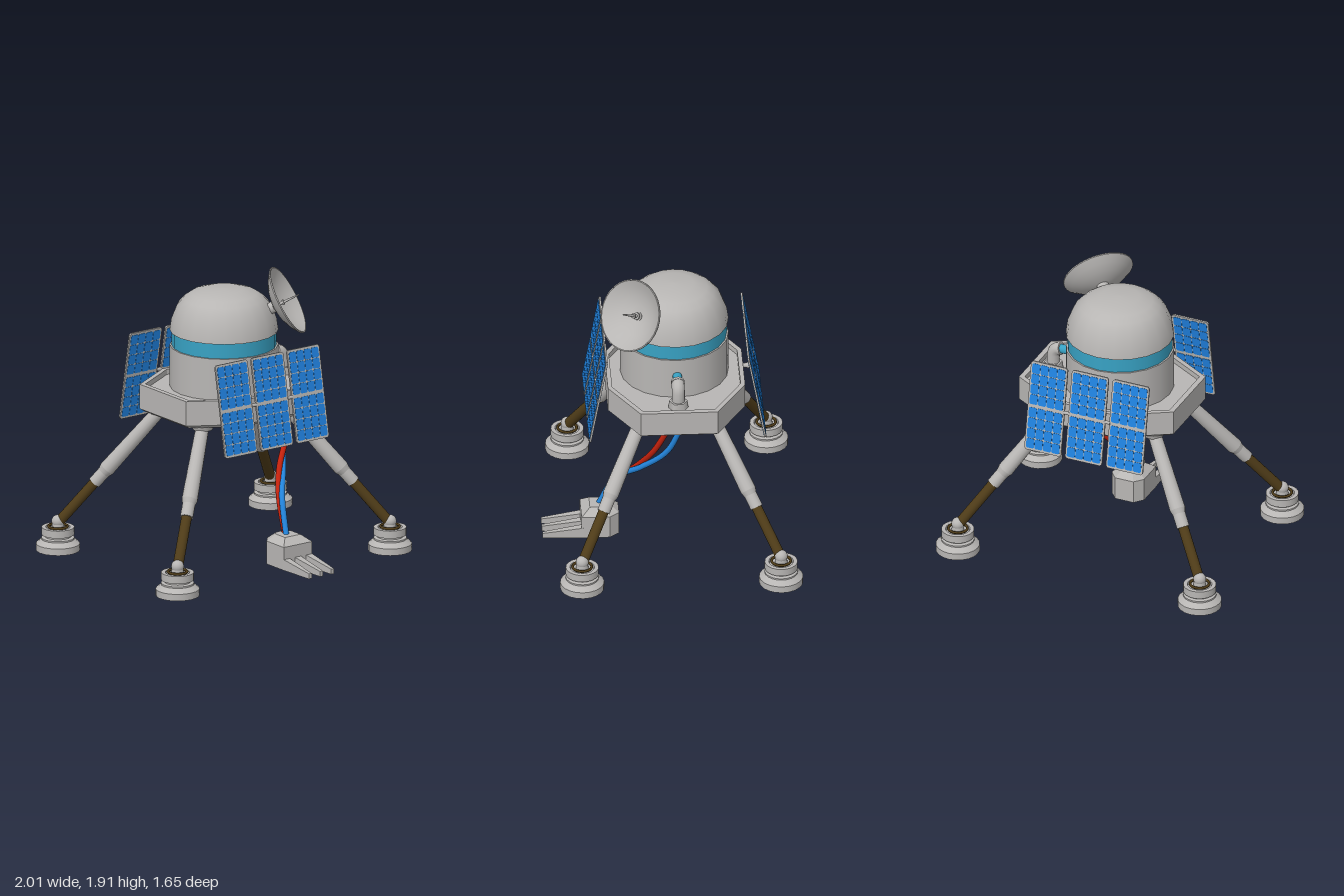
import * as THREE from 'three';
import { mergeGeometries } from 'three/addons/utils/BufferGeometryUtils.js';

const mat = (name, color) => {
  const m = new THREE.MeshStandardMaterial({ color });
  m.name = name;
  return m;
};
const V = (x, y, z) => new THREE.Vector3(x, y, z);
const UP = V(0, 1, 0);
const CZ = -0.042; // centre line of the vehicle in z

// Flat-sided solid: a polygon [x, z] scaled and lifted through a [scale, y] profile
function loft(poly, profile) {
  const pos = [];
  for (let k = 0; k < profile.length - 1; k++) {
    const [s0, y0] = profile[k], [s1, y1] = profile[k + 1];
    poly.forEach((p, i) => {
      const q = poly[(i + 1) % poly.length];
      const a = [p[0] * s0, y0, p[1] * s0], b = [q[0] * s0, y0, q[1] * s0];
      const c = [q[0] * s1, y1, q[1] * s1], d = [p[0] * s1, y1, p[1] * s1];
      if (s0 > 0) pos.push(...a, ...b, ...c);
      if (s1 > 0) pos.push(...a, ...c, ...d);
    });
  }
  const g = new THREE.BufferGeometry();
  g.setAttribute('position', new THREE.Float32BufferAttribute(pos, 3));
  g.computeVertexNormals();
  return g;
}

const octagon = (x, z, x2, z2) => [[x, z2], [x, -z2], [x2, -z], [-x2, -z], [-x, -z2], [-x, z2], [-x2, z], [x2, z]];

// Smooth turned surface, and one with sharp edges between its straight runs
const lathe = (points, sides) => new THREE.LatheGeometry(points.map(p => new THREE.Vector2(...p)), sides);
const turned = (points, sides) =>
  mergeGeometries(points.slice(1).map((p, i) => lathe([points[i], p], sides)));

// Flat plate in the xy plane with cut corners, centred on its thickness
function plate(w, h, cut, depth) {
  const s = new THREE.Shape([[w - cut, -h], [w, -h + cut], [w, h - cut], [w - cut, h],
    [-w + cut, h], [-w, h - cut], [-w, -h + cut], [-w + cut, -h]].map(p => new THREE.Vector2(...p)));
  return new THREE.ExtrudeGeometry(s, { depth, bevelEnabled: false }).translate(0, 0, -depth / 2);
}

export function createModel() {
  const grey = mat('hull grey', 0xb8b6b4);
  const teal = mat('window teal', 0x38a2c4);
  const hatchTeal = mat('hatch teal', 0x60a8a5);
  const bronze = mat('bronze', 0x4f3c18);
  const red = mat('cable red', 0xc4220d);
  const blue = mat('cable blue', 0x2385dc);
  const cellBlue = mat('cell blue', 0x2082e0);
  const model = new THREE.Group();
  model.name = 'lander';

  const add = (name, geo, material, parent = model, x = 0, y = 0, z = 0) => {
    const m = new THREE.Mesh(geo, material);
    m.name = name;
    m.position.set(x, y, z);
    parent.add(m);
    return m;
  };
  // Cylinder from a (radius ra) to b (radius rb)
  const rod = (name, a, b, ra, rb, material, parent = model, sides = 16) => {
    const d = b.clone().sub(a);
    const m = add(name, new THREE.CylinderGeometry(rb, ra, d.length(), sides), material, parent);
    m.position.copy(a).add(b).multiplyScalar(0.5);
    m.quaternion.setFromUnitVectors(UP, d.normalize());
  };

  // Octagonal base with a sunken deck and a recessed hatch beneath
  const base = octagon(0.55, 0.445, 0.22, 0.25);
  add('base', loft(base, [[0, 0.985], [0.5, 0.985], [0.56, 0.955], [0.93, 0.955], [1, 0.98],
    [1, 1.145], [0.935, 1.145], [0.935, 1.11], [0, 1.11]]), grey, model, 0.055, 0, CZ);
  add('bellyHatch', loft(base, [[0, 0.979], [0.51, 0.979]]), hatchTeal, model, 0.055, 0, CZ);

  // Cabin: wall, window band and dome
  add('cabinWall', turned([[0.352, 1.1], [0.352, 1.388], [0.33, 1.388]], 20), grey, model, 0, 0, CZ);
  add('windowBand', turned([[0.341, 1.38], [0.341, 1.492]], 20), teal, model, 0, 0, CZ);
  add('domeLip', turned([[0.33, 1.487], [0.352, 1.487]], 20), grey, model, 0, 0, CZ);
  add('dome', lathe([[0.352, 1.487], [0.341, 1.565], [0.305, 1.655], [0.262, 1.702],
    [0.215, 1.735], [0.125, 1.763], [0, 1.767]], 20), grey, model, 0, 0, CZ);

  // Four legs with feet
  const footProfile = [[0, 0], [0.143, 0], [0.143, 0.045], [0.108, 0.075], [0.108, 0.085], [0.085, 0.09],
    [0.085, 0.105], [0.107, 0.105], [0.107, 0.155], [0.08, 0.155], [0.075, 0.14], [0, 0.14]];
  for (const sx of [1, -1]) for (const sz of [1, -1]) {
    const leg = new THREE.Group();
    leg.name = (sz > 0 ? 'front' : 'back') + (sx > 0 ? 'Left' : 'Right') + 'Leg';
    model.add(leg);
    const at = y => {
      const t = (0.95 - y) / 0.77;
      return V(sx * (0.345 + 0.515 * t), y, CZ + sz * (0.23 + 0.415 * t));
    };
    const top = at(0.95);
    add('legSocket', new THREE.CylinderGeometry(0.075, 0.065, 0.03, 16), grey, leg, top.x, 0.945, top.z);
    rod('upperStrut', at(0.97), at(0.55), 0.043, 0.052, grey, leg);
    rod('strutTaper', at(0.55), at(0.52), 0.052, 0.04, grey, leg);
    rod('strutCollar', at(0.525), at(0.455), 0.042, 0.042, grey, leg);
    rod('lowerStrut', at(0.47), at(0.2), 0.034, 0.034, bronze, leg);
    const foot = at(0.18);
    add('ankleBall', new THREE.SphereGeometry(0.042, 16, 12), grey, leg, foot.x, 0.193, foot.z);
    add('anklePost', new THREE.CylinderGeometry(0.036, 0.042, 0.06, 16), grey, leg, foot.x, 0.165, foot.z);
    add('foot', turned(footProfile, 20), grey, leg, foot.x, 0, foot.z);
    const ring = add('ankleRing', new THREE.TorusGeometry(0.062, 0.009, 6, 20), bronze, leg, foot.x, 0.158, foot.z);
    ring.rotation.x = Math.PI / 2;
  }

  // Solar arrays: three tilted panels each, with corner-cut cells on both faces
  const cells = [];
  for (const half of [1, -1]) for (let c = 0; c < 4; c++) for (let r = 0; r < 4; r++) {
    cells.push(plate(0.0285, 0.0335, 0.008, 0.017)
      .translate((c - 1.5) * 0.06, half * 0.151 + (r - 1.5) * 0.071, 0));
  }
  const cellGeo = mergeGeometries(cells);
  const frameGeo = plate(0.13, 0.306, 0.012, 0.012);
  for (const s of [1, -1]) {
    const array = new THREE.Group();
    array.name = s > 0 ? 'frontSolarArray' : 'backSolarArray';
    array.position.set(0, 1.122, CZ + s * 0.514);
    array.rotation.x = -s * 0.182;
    model.add(array);
    for (const x of [-0.29, 0, 0.29]) {
      add('panelFrame', frameGeo, grey, array, x);
      add('solarCells', cellGeo, cellBlue, array, x);
    }
    for (const x of [-0.145, 0.145]) {
      rod('panelLink', V(x - 0.02, 0, 0), V(x + 0.02, 0, 0), 0.012, 0.012, grey, array, 8);
    }
    rod('panelMount', V(0, 1.122, CZ + s * 0.43), V(0, 1.122, CZ + s * 0.475), 0.014, 0.016, grey, model, 10);
    rod('panelMountHead', V(0, 1.122, CZ + s * 0.46), V(0, 1.122, CZ + s * 0.508), 0.015, 0.027, grey, model, 10);
  }

  // Dish antenna, facing forward, outward and up
  const dish = new THREE.Group();
  dish.name = 'dishAntenna';
  dish.position.set(0.286, 1.7, 0.252);
  dish.quaternion.setFromUnitVectors(UP, V(0.62, 0.48, 0.62).normalize());
  model.add(dish);
  const bowl = [[0, -0.09], [0.07, -0.082], [0.135, -0.06], [0.19, -0.031], [0.236, 0.004]];
  add('dishBack', lathe(bowl, 32), grey, dish);
  add('dishFace', lathe(bowl.map(([r, y]) => [r * 0.97, y + 0.008]).reverse(), 32), grey, dish);
  add('dishRim', turned([[0.236, 0.004], [0.236, 0.012], [0.229, 0.012]], 32), grey, dish);
  add('dishMount', new THREE.CylinderGeometry(0.04, 0.035, 0.07, 16), grey, dish, 0, -0.12, 0);
  add('feedHorn', turned([[0.028, -0.09], [0.028, -0.075], [0.014, -0.075], [0.014, -0.065], [0.024, -0.065], [0.024, -0.053],
    [0.011, -0.053], [0.011, -0.03], [0.017, -0.03], [0.017, -0.02], [0.009, -0.02], [0.004, 0.09], [0, 0.09]], 12), grey, dish);

  // Elbow pipe from the cabin down to the deck
  rod('pipeSleeve', V(0.33, 1.268, CZ), V(0.44, 1.268, CZ), 0.03, 0.03, teal);
  const elbow = new THREE.CatmullRomCurve3([V(0.425, 1.268, CZ), V(0.45, 1.26, CZ), V(0.468, 1.238, CZ),
    V(0.474, 1.2, CZ), V(0.474, 1.11, CZ)]);
  add('elbowPipe', new THREE.TubeGeometry(elbow, 20, 0.042, 12), grey);
  rod('pipeCollar', V(0.418, 1.27, CZ), V(0.436, 1.266, CZ), 0.044, 0.044, grey);
  add('pipeFlange', new THREE.CylinderGeometry(0.06, 0.065, 0.05, 6), grey, model, 0.474, 1.135, CZ);

  // Cables hanging from the base to the gripper
  const cable = (name, pts, material) =>
    add(name, new THREE.TubeGeometry(new THREE.CatmullRomCurve3(pts.map(p => V(...p))), 40, 0.019, 10), material);
  cable('redCable', [[0.475, 0.97, 0.01], [0.385, 0.73, 0.11], [0.265, 0.56, 0.2], [0.178, 0.41, 0.313], [0.147, 0.18, 0.422]], red);
  cable('blueCable', [[0.485, 0.97, -0.065], [0.42, 0.74, 0.03], [0.305, 0.56, 0.19], [0.178, 0.41, 0.348], [0.13, 0.18, 0.458]], blue);
  add('cablePort', new THREE.BoxGeometry(0.13, 0.02, 0.2), grey, model, 0.475, 0.955, CZ + 0.02);

  // Gripper: chamfered block with three tapered fingers
  const gripper = new THREE.Group();
  gripper.name = 'gripper';
  gripper.position.set(0.138, 0, 0.447);
  model.add(gripper);
  add('gripperBody', loft([[0.115, 0.125], [0.115, -0.06], [0.065, -0.12], [-0.065, -0.12], [-0.115, -0.06], [-0.115, 0.125]],
    [[0, 0], [1, 0], [1, 0.155], [0.55, 0.2], [0, 0.2]]), grey, gripper);
  const finger = new THREE.BoxGeometry(0.052, 0.075, 0.27);
  const p = finger.attributes.position;
  for (let i = 0; i < p.count; i++) {
    const tip = p.getZ(i) > 0;
    p.setXYZ(i, p.getX(i) * (tip ? 0.45 : 1), p.getY(i) > 0 ? (tip ? 0.035 : 0.075) : 0, tip ? 0.378 : 0.11);
  }
  finger.computeVertexNormals();
  for (const x of [-0.09, 0, 0.09]) add('gripperFinger', finger, grey, gripper, x);

  return model;
}
